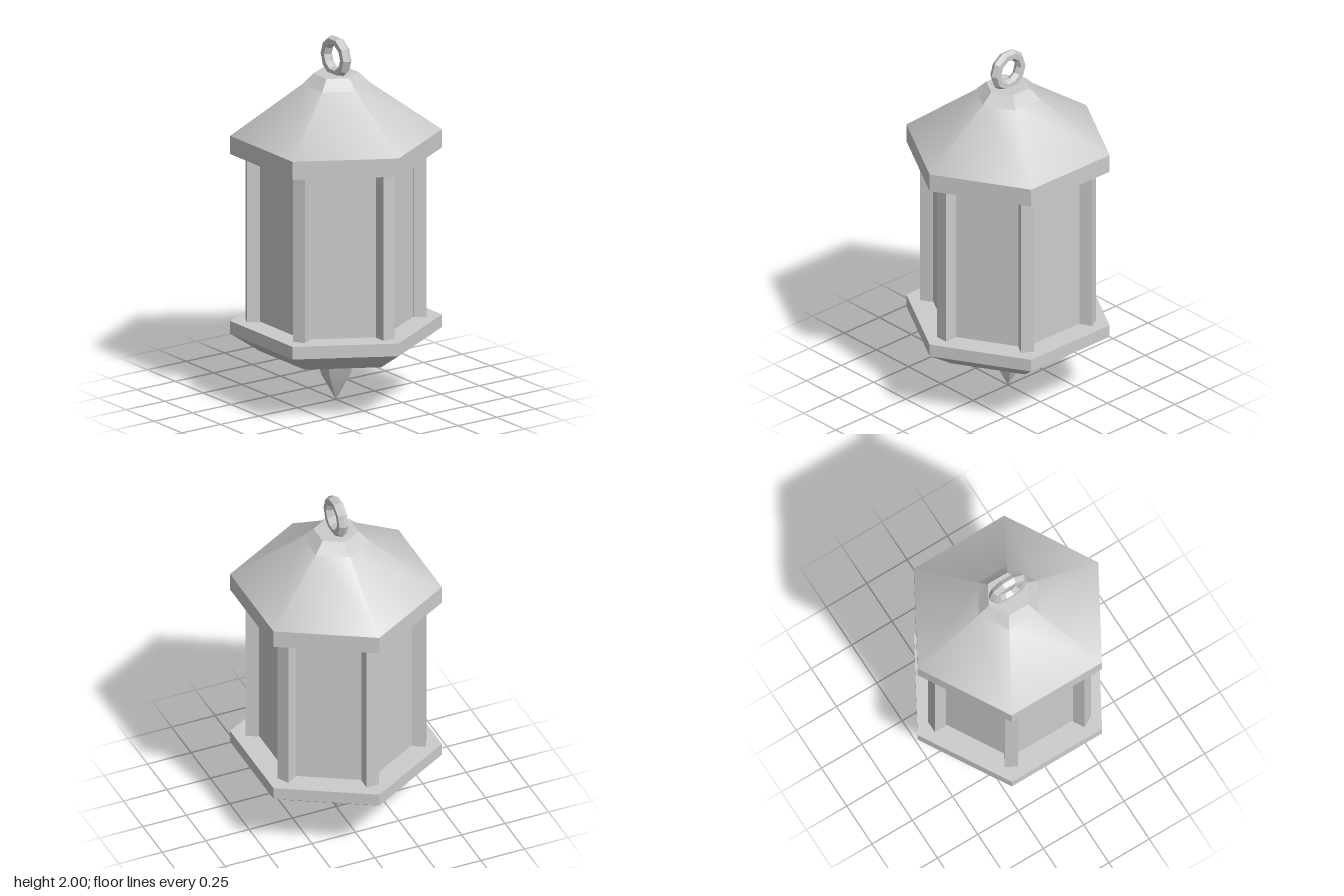
import * as THREE from 'three';
import { toCreasedNormals } from 'three/addons/utils/BufferGeometryUtils.js';

const SIDES = 6;
const material = new THREE.MeshStandardMaterial({ color: 0xcccccc });
const flatMaterial = new THREE.MeshStandardMaterial({ color: 0xcccccc, flatShading: true });

// Six-sided solid turned from a [radius, height] profile, listed bottom to top,
// with corners on the x axis. Shallow edges are smooth, steeper ones sharp.
function hexSolid(name, profile) {
  const points = profile.map(([r, y]) => new THREE.Vector2(r, y));
  const lathe = new THREE.LatheGeometry(points, SIDES, Math.PI / 6);
  const mesh = new THREE.Mesh(toCreasedNormals(lathe, 0.7), material);
  mesh.name = name;
  return mesh;
}

export function createModel() {
  const lantern = new THREE.Group();
  lantern.name = 'lantern';

  // Roof with vertical eaves, and a steeper neck under the flat cap
  lantern.add(hexSolid('roof', [
    [0, 1.37], [0.56, 1.37], [0.56, 1.47], [0.18, 1.742], [0.12, 1.8], [0, 1.8],
  ]));

  // Closed panels, set back between the posts
  lantern.add(hexSolid('panels', [[0, 0.45], [0.42, 0.45], [0.42, 1.37], [0, 1.37]]));

  // Base plate with tapered underside
  lantern.add(hexSolid('base', [
    [0, 0.28], [0.405, 0.28], [0.56, 0.38], [0.56, 0.45], [0, 0.45],
  ]));

  // Pointed drop below the base
  lantern.add(hexSolid('finial', [
    [0, 0], [0.075, 0.135], [0.11, 0.24], [0.085, 0.28], [0, 0.28],
  ]));

  // Corner posts
  const posts = new THREE.Group();
  posts.name = 'posts';
  const postGeometry = new THREE.BoxGeometry(0.07, 0.92, 0.07);
  for (let i = 0; i < SIDES; i++) {
    const angle = (i / SIDES) * Math.PI * 2;
    const post = new THREE.Mesh(postGeometry, material);
    post.name = 'post';
    post.position.set(0.44 * Math.cos(angle), 0.91, 0.44 * Math.sin(angle));
    post.rotation.y = -angle;
    posts.add(post);
  }
  lantern.add(posts);

  // Hanging ring
  const ring = new THREE.Mesh(new THREE.TorusGeometry(0.087, 0.03, 6, 10), flatMaterial);
  ring.name = 'hangingRing';
  ring.position.y = 1.889;
  lantern.add(ring);

  return lantern;
}
